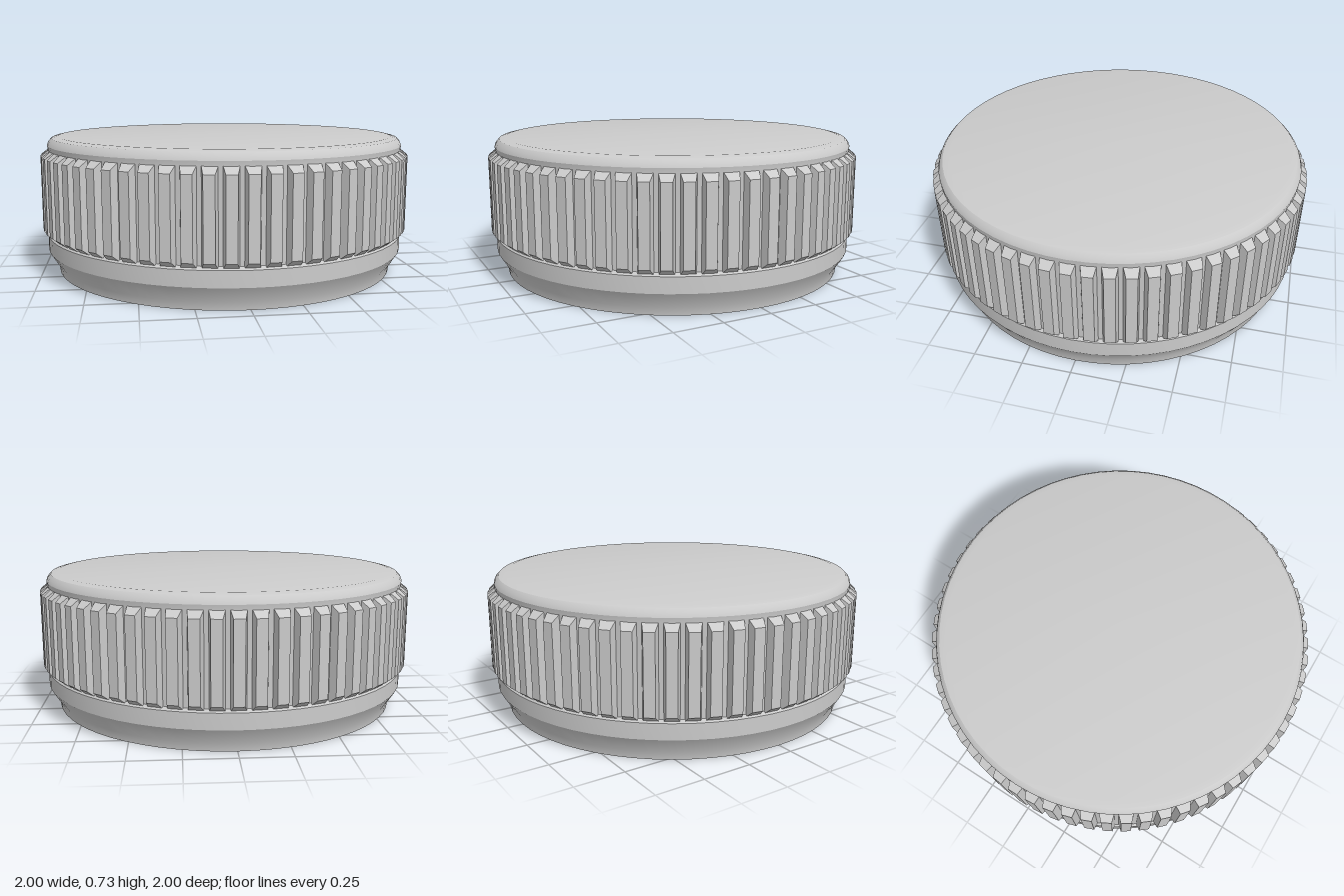
import * as THREE from 'three';
import { mergeGeometries, toCreasedNormals } from 'three/addons/utils/BufferGeometryUtils.js';

const RIBS = 64;
const BODY_R = 0.962, RIB_R = 1.0;

// One grip rib: a box whose outer face is drawn in to bevel all four sides
function ribGeometry() {
  const inner = BODY_R - 0.012, bottom = 0.195, top = 0.665;
  const depth = RIB_R - inner, height = top - bottom;
  const geo = new THREE.BoxGeometry(0.078, height, depth);
  const pos = geo.attributes.position;
  for (let i = 0; i < pos.count; i++) {
    if (pos.getZ(i) > 0) {
      pos.setX(i, pos.getX(i) * 0.68);
      pos.setY(i, pos.getY(i) - Math.sign(pos.getY(i)) * 0.04);
    }
  }
  geo.translate(0, (top + bottom) / 2, (inner + RIB_R) / 2);
  geo.computeVertexNormals();
  return geo;
}

export function createModel() {
  const model = new THREE.Group();
  const material = new THREE.MeshStandardMaterial({ color: 0xcccccc });

  // Hollow shell: ceiling, inner wall, rim, tapered skirt, body, rounded top edge
  const profile = [
    [0, 0.64], [0.9, 0.64], [0.905, 0], [0.92, 0], [0.925, 0.04],
    [0.975, 0.12], [0.975, 0.2], [BODY_R, 0.215], [BODY_R, 0.66],
    [0.965, 0.68], [0.957, 0.7], [0.94, 0.717], [0.905, 0.725], [0, 0.727],
  ].map(([r, y]) => new THREE.Vector2(r, y));
  const shell = new THREE.Mesh(
    toCreasedNormals(new THREE.LatheGeometry(profile, RIBS), 0.5), material);
  shell.name = 'capShell';
  model.add(shell);

  // Grip ribs around the side
  const rib = ribGeometry();
  const ribs = [];
  for (let i = 0; i < RIBS; i++) {
    ribs.push(rib.clone().rotateY((i / RIBS) * Math.PI * 2));
  }
  const grip = new THREE.Mesh(mergeGeometries(ribs), material);
  grip.name = 'gripRibs';
  model.add(grip);

  return model;
}
